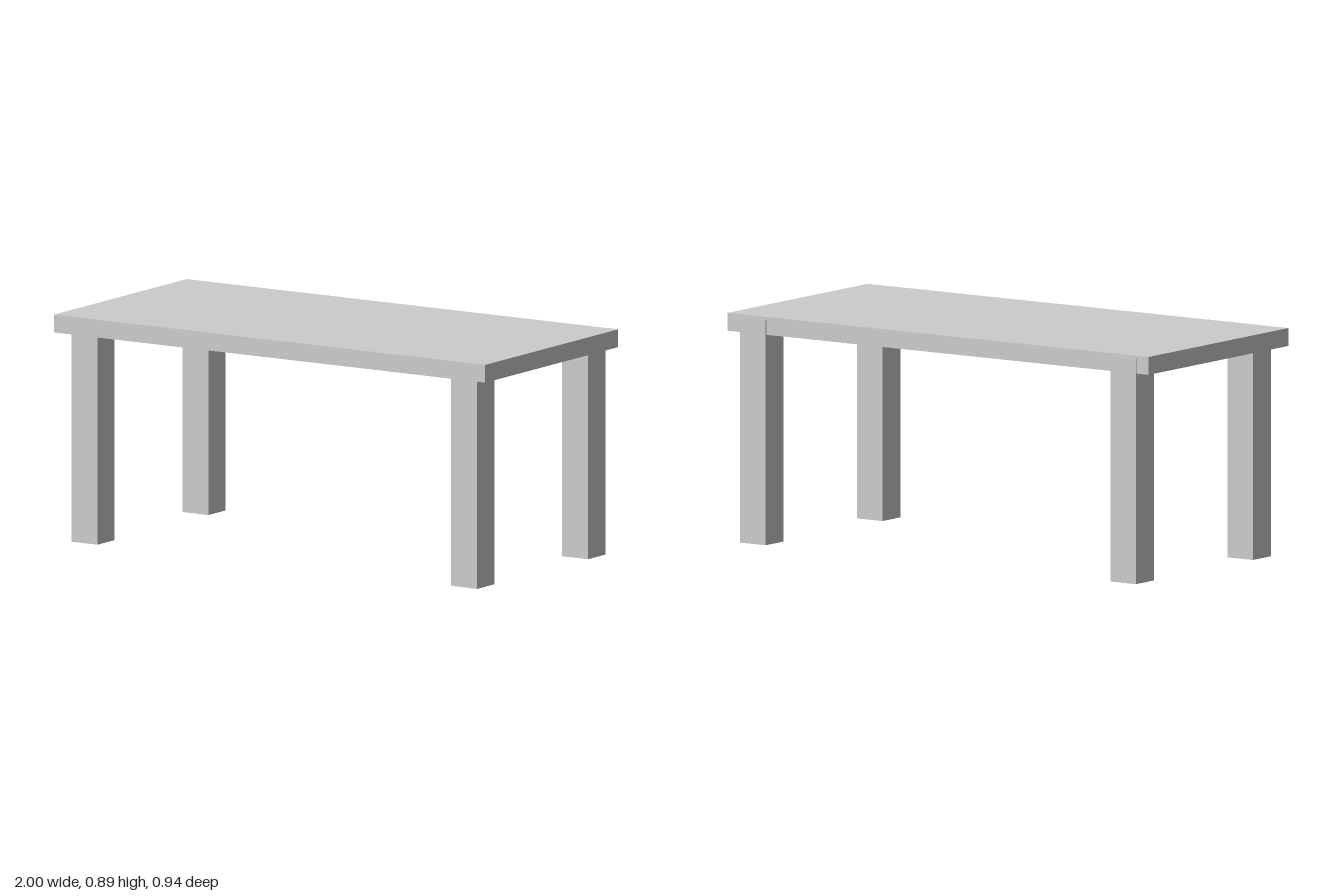
import * as THREE from 'three';

const material = new THREE.MeshStandardMaterial({ color: 0xcccccc, flatShading: true });

function box(name, [w, h, d], [x, y, z]) {
  const mesh = new THREE.Mesh(new THREE.BoxGeometry(w, h, d), material);
  mesh.name = name;
  mesh.position.set(x, y, z);
  return mesh;
}

export function createModel() {
  const table = new THREE.Group();
  table.name = 'table';

  // Flat slab top
  table.add(box('tableTop', [2, 0.07, 0.935], [0, 0.858, 0.0025]));

  // Square legs, let into the top; the back pair stands just proud of its edge
  const legWidth = 0.121, legHeight = 0.882;
  for (const [side, x] of [['Left', 0.876], ['Right', -0.884]]) {
    for (const [end, z] of [['front', 0.37], ['back', -0.4095]]) {
      table.add(box(`${end}${side}Leg`, [legWidth, legHeight, legWidth], [x, legHeight / 2, z]));
    }
  }

  return table;
}
